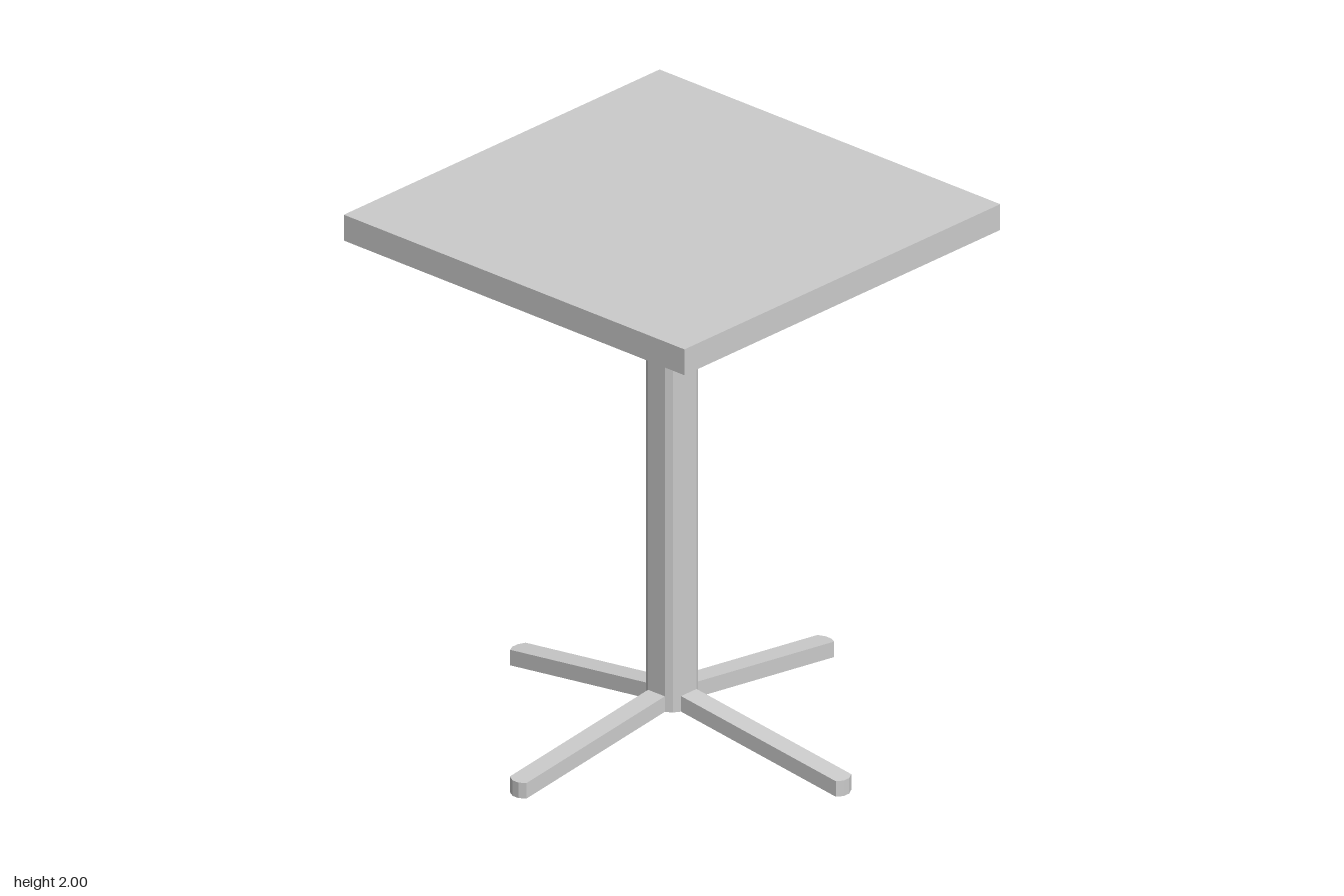
import * as THREE from 'three';

const material = new THREE.MeshStandardMaterial({ color: 0xcccccc, flatShading: true });

// Extrude a plan outline (x, z) downward from y = top
function extrudePlan(points, height, top) {
  const shape = new THREE.Shape(points.map(([x, z]) => new THREE.Vector2(x, z)));
  const geometry = new THREE.ExtrudeGeometry(shape, { depth: height, bevelEnabled: false });
  return geometry.rotateX(Math.PI / 2).translate(0, top, 0);
}

function addPart(parent, name, geometry) {
  const mesh = new THREE.Mesh(geometry, material);
  mesh.name = name;
  parent.add(mesh);
  return mesh;
}

// Bar running outward along +z, sloping down to a blunt pointed tip
function legGeometry(reach) {
  const w = 0.04;
  const geometry = extrudePlan([
    [-w, 0.07], [w, 0.07], [w, reach - 0.014], [0.014, reach], [-0.014, reach], [-w, reach - 0.014],
  ], 0.06, 0);
  const pos = geometry.attributes.position;
  for (let i = 0; i < pos.count; i++) {
    pos.setY(i, pos.getY(i) + 0.156 - 0.1255 * (pos.getZ(i) - 0.08));
  }
  geometry.computeVertexNormals();
  return geometry;
}

export function createModel() {
  const model = new THREE.Group();
  model.name = 'pedestalTable';
  const table = new THREE.Group();
  table.name = 'table';
  table.position.z = -0.012;
  model.add(table);

  // Square slab with a shallow pyramid beneath it
  const half = 0.813;
  addPart(table, 'tabletop', new THREE.BoxGeometry(2 * half, 0.1, 2 * half).translate(0, 1.95, 0));
  const taper = new THREE.CylinderGeometry(half * Math.SQRT2, 0.075 * Math.SQRT2, 0.095, 4, 1, true);
  addPart(table, 'tabletopUnderside', taper.rotateY(Math.PI / 4).translate(0, 1.8525, 0));

  // Twelve-sided column with a broad flat face toward each leg
  const outline = [];
  for (let i = 0; i < 4; i++) {
    const c = Math.round(Math.cos(i * Math.PI / 2)), s = Math.round(Math.sin(i * Math.PI / 2));
    for (const [x, z] of [[0.08, -0.04], [0.08, 0.04], [0.065, 0.065]]) {
      outline.push([x * c - z * s, x * s + z * c]);
    }
  }
  addPart(table, 'column', extrudePlan(outline, 1.714, 1.81));

  // Four legs in a cross: front, left, back, right
  ['frontLeg', 'leftLeg', 'backLeg', 'rightLeg'].forEach((name, i) => {
    const reach = [0.833, 0.806, 0.75, 0.806][i];
    addPart(table, name, legGeometry(reach)).rotation.y = i * Math.PI / 2;
  });

  return model;
}
